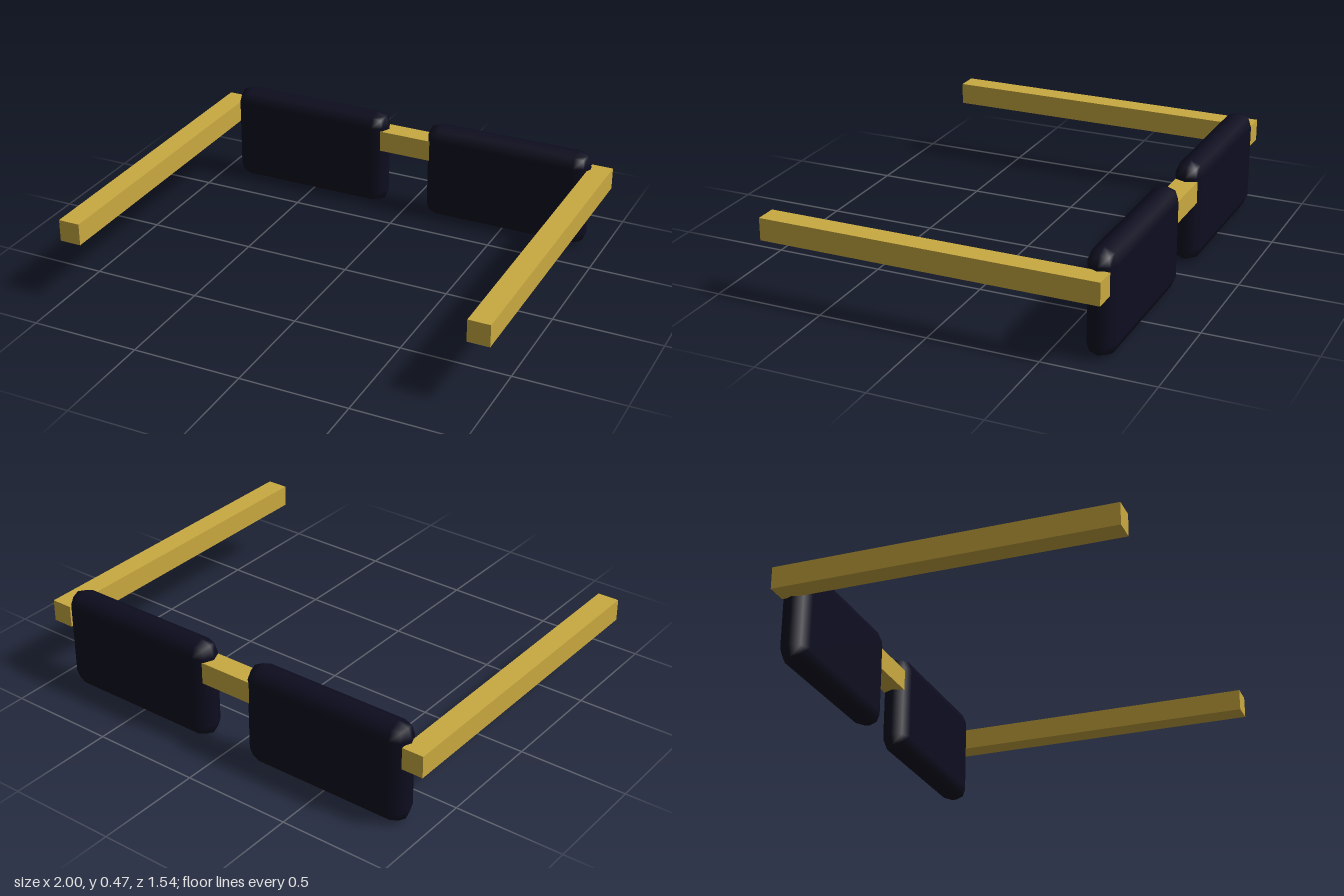
import * as THREE from 'three';
import { RoundedBoxGeometry } from 'three/addons/geometries/RoundedBoxGeometry.js';

export function createModel() {
  const model = new THREE.Group();
  model.name = 'sunglasses';

  const gold = new THREE.MeshStandardMaterial({ color: 0xc9a940 });
  gold.name = 'gold frame';
  const dark = new THREE.MeshStandardMaterial({ color: 0x0d0d20 });
  dark.name = 'dark lens';

  function add(name, geometry, material, x, y, z) {
    const mesh = new THREE.Mesh(geometry, material);
    mesh.name = name;
    mesh.position.set(x, y, z);
    model.add(mesh);
  }

  const frameY = 0.343; // centre height of the bars
  const lensZ = -0.704;

  // Lenses with fully rounded rims, and straight temple arms
  for (const [side, s] of [['left', 1], ['right', -1]]) {
    add(side + 'Lens', new RoundedBoxGeometry(0.81, 0.474, 0.134, 1, 0.067), dark, s * 0.507, 0.237, lensZ);
    add(side + 'Arm', new THREE.BoxGeometry(0.1, 0.101, 1.524), gold, s * 0.95, frameY, 0.008);
  }

  // Bridge between the lenses
  add('bridge', new THREE.BoxGeometry(0.4, 0.101, 0.1), gold, 0, frameY, lensZ);

  return model;
}
